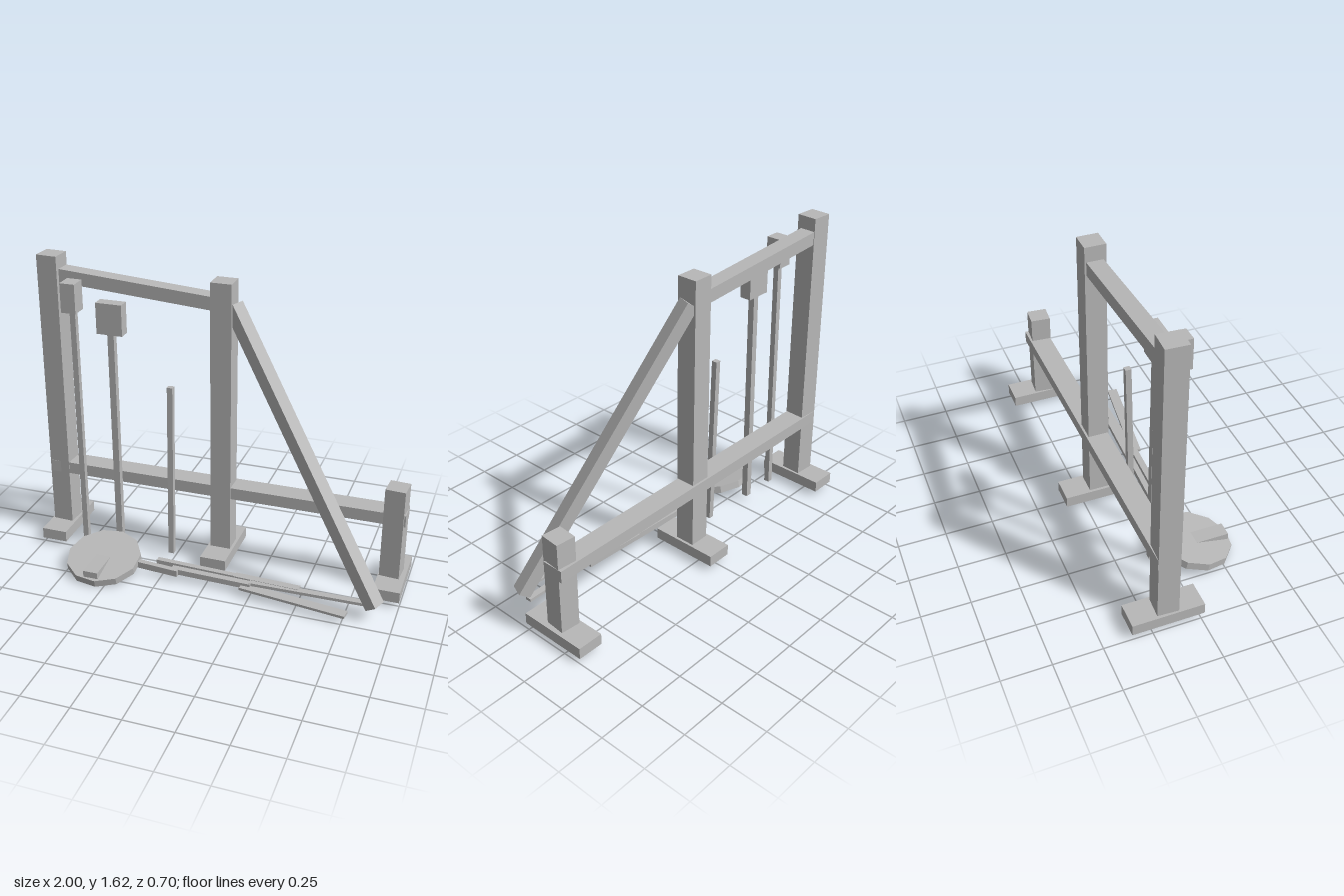
import * as THREE from 'three';

export function createModel() {
  const model = new THREE.Group();
  const grey = new THREE.MeshStandardMaterial({ color: 0xb8b8b8 });
  grey.name = 'plain grey';
  grey.flatShading = true;

  const add = (name, geometry) => {
    const mesh = new THREE.Mesh(geometry, grey);
    mesh.name = name;
    model.add(mesh);
    return mesh;
  };

  // Upright box given by its extents
  const block = (name, [x0, x1], [y0, y1], [z0, z1]) => {
    const m = add(name, new THREE.BoxGeometry(x1 - x0, y1 - y0, z1 - z0));
    m.position.set((x0 + x1) / 2, (y0 + y1) / 2, (z0 + z1) / 2);
    return m;
  };

  // Bar from a to b: width is measured sideways (level), height across that
  const bar = (name, a, b, width, height) => {
    const from = new THREE.Vector3(...a), to = new THREE.Vector3(...b);
    const along = to.clone().sub(from);
    const m = add(name, new THREE.BoxGeometry(along.length(), height, width));
    along.normalize();
    const side = along.clone().cross(new THREE.Vector3(0, 1, 0)).normalize();
    const up = side.clone().cross(along);
    m.quaternion.setFromRotationMatrix(new THREE.Matrix4().makeBasis(along, up, side));
    m.position.copy(from.add(to).multiplyScalar(0.5));
    return m;
  };

  // Feet under the three posts
  for (const x of [-0.93, 0, 0.93]) block('foot', [x - 0.07, x + 0.07], [0.035, 0.095], [-0.355, 0.018]);

  // Posts, each slightly turned or tilted
  const leftPost = block('tallPost', [-0.987, -0.875], [0.035, 1.63], [-0.22, -0.11]);
  leftPost.rotation.y = -0.05;
  block('middlePost', [-0.055, 0.055], [0.035, 1.58], [-0.218, -0.11]);
  const shortPost = block('shortPost', [0.87, 0.975], [0.035, 0.6], [-0.22, -0.112]);
  shortPost.rotation.y = -0.08;

  // Rails and diagonal brace
  bar('lowerRail', [-0.98, 0.432, -0.167], [0.98, 0.432, -0.177], 0.115, 0.065);
  bar('upperRail', [-0.9, 1.527, -0.172], [-0.03, 1.465, -0.167], 0.085, 0.07);
  bar('brace', [0.045, 1.457, -0.17], [0.9, 0.087, 0.16], 0.08, 0.065);

  // Hammers leaning on the rack and a loose stick
  block('smallHammerHead', [-0.82, -0.74], [1.37, 1.525], [-0.108, -0.018]);
  bar('smallHammerShaft', [-0.775, 0.035, -0.077], [-0.775, 1.4, -0.0775 + 0.01], 0.03, 0.03);
  block('largeHammerHead', [-0.64, -0.5], [1.27, 1.435], [-0.105, -0.042]);
  bar('largeHammerShaft', [-0.57, 0.04, -0.08], [-0.57, 1.3, -0.073], 0.035, 0.035);
  bar('stick', [-0.262, 0.04, -0.065], [-0.262, 1.01, -0.088], 0.03, 0.03);

  // Round shield lying tilted, with its grip
  const shield = add('shield', new THREE.CylinderGeometry(0.2, 0.2, 0.04, 11));
  shield.position.set(-0.57, 0.066, 0.148);
  shield.rotation.set(0.21, 0.14, 0, 'XYZ');
  block('shieldGrip', [-0.61, -0.53], [0.05, 0.085], [0.145, 0.33]);

  // Swords lying on the ground: handle, guard section and blade
  bar('nearSwordHandle', [-0.38, 0.057, 0.127], [-0.15, 0.057, 0.147], 0.03, 0.035);
  bar('nearSwordGuard', [-0.19, 0.057, 0.124], [0.25, 0.057, 0.137], 0.035, 0.03);
  bar('nearSwordBlade', [0.2, 0.05, 0.15], [0.77, 0.05, 0.226], 0.055, 0.014);
  bar('farSwordHandle', [-0.29, 0.058, 0.075], [0.18, 0.058, 0.093], 0.03, 0.034);
  bar('farSwordGuard', [0.15, 0.062, 0.09], [0.5, 0.062, 0.103], 0.04, 0.026);
  bar('farSwordBlade', [0.24, 0.065, 0.125], [0.9, 0.065, 0.115], 0.035, 0.016);

  return model;
}
